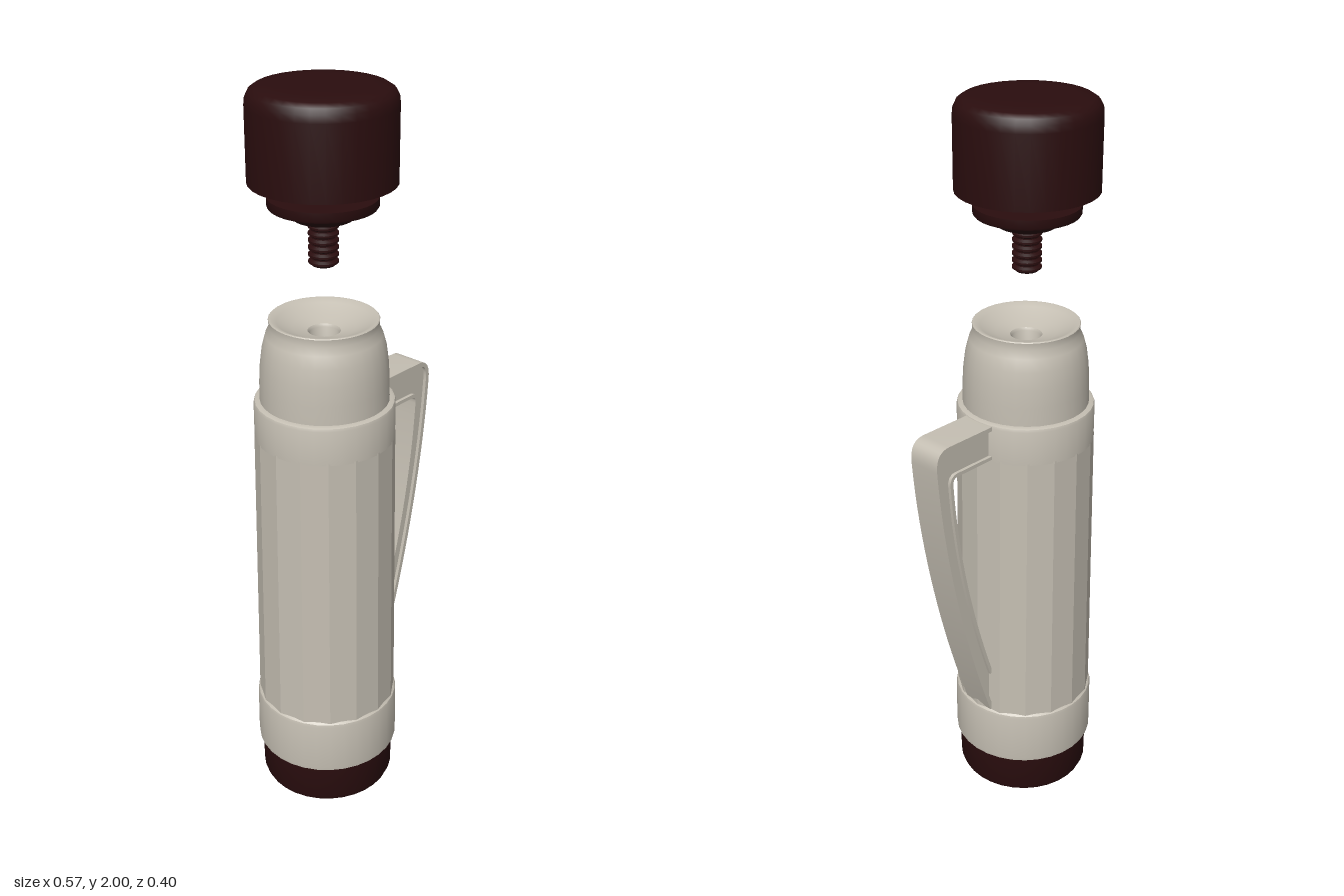
import * as THREE from 'three';
import { toCreasedNormals } from 'three/addons/utils/BufferGeometryUtils.js';

const AXIS_X = -0.087; // centre line of the flask

export function createModel() {
  const cream = new THREE.MeshStandardMaterial({ color: 0xc4beb2 });
  cream.name = 'cream plastic';
  const brown = new THREE.MeshStandardMaterial({ color: 0x2a0d0e });
  brown.name = 'dark brown plastic';
  const group = new THREE.Group();
  group.name = 'vacuumFlask';

  const add = (name, geometry, material) => {
    const mesh = new THREE.Mesh(geometry, material);
    mesh.name = name;
    group.add(mesh);
    return mesh;
  };

  // Crease at a larger scale so that small details are not merged
  const crease = (geometry, angle) =>
    toCreasedNormals(geometry.scale(100, 100, 100), angle).scale(0.01, 0.01, 0.01);

  // Turned part from [radius, y] pairs, listed up the outside
  const turn = (name, profile, material, sides = 32, angle = 0.6) => {
    const points = profile.map(([r, y]) => new THREE.Vector2(r, y));
    const mesh = add(name, crease(new THREE.LatheGeometry(points, sides), angle), material);
    mesh.position.x = AXIS_X;
    return mesh;
  };

  // Base foot, lower band, faceted body and collar
  turn('base', [[0, 0.005], [0.12, 0.005], [0.15, 0], [0.168, 0.002], [0.18, 0.008],
    [0.186, 0.022], [0.187, 0.14], [0, 0.14]], brown);
  turn('lowerBand', [[0.18, 0.128], [0.197, 0.128], [0.198, 0.138], [0.197, 0.277],
    [0.195, 0.285], [0.189, 0.29], [0.17, 0.29]], cream);
  turn('body', [[0.192, 0.28], [0.184, 1.1]], cream, 16, 0.1);
  turn('collar', [[0.17, 1.095], [0.1835, 1.095], [0.1835, 1.19], [0.181, 1.197],
    [0.175, 1.2], [0.16, 1.2]], cream);

  // Neck with a shallow pouring funnel and a well for the stopper
  turn('neck', [[0.168, 1.19], [0.167, 1.25], [0.164, 1.3], [0.158, 1.345], [0.149, 1.378],
    [0.139, 1.398], [0.141, 1.418], [0.139, 1.42], [0.134, 1.42], [0.12, 1.412],
    [0.08, 1.395], [0.042, 1.385], [0.038, 1.378], [0.038, 1.25], [0, 1.25]], cream);

  // Stopper: flanged head above a ridged stem
  turn('stopperHead', [[0, 1.675], [0.062, 1.675], [0.075, 1.68], [0.1, 1.697], [0.134, 1.709],
    [0.137, 1.714], [0.137, 1.735], [0, 1.735]], brown);
  const thread = [[0, 1.56], [0.029, 1.56]];
  for (let i = 0; i < 6; i++) {
    const y = 1.562 + i * 0.018;
    thread.push([0.03, y], [0.038, y + 0.005], [0.038, y + 0.01], [0.03, y + 0.015]);
  }
  thread.push([0.03, 1.68]);
  turn('stopperStem', thread, brown, 24);

  // Hollow cup lid
  turn('cup', [[0, 1.975], [0.155, 1.975], [0.168, 1.96], [0.172, 1.77], [0.183, 1.77],
    [0.183, 1.955], [0.181, 1.973], [0.174, 1.987], [0.16, 1.996], [0.12, 2], [0, 2]], brown);

  // Handle: an I-section made of a web and two raised flanges
  const v = (x, y) => new THREE.Vector2(x, y);
  const outer = [
    ...new THREE.CubicBezierCurve(v(0.24, 1.195), v(0.272, 1.195), v(0.287, 1.175), v(0.284, 1.135)).getPoints(8),
    ...new THREE.CubicBezierCurve(v(0.284, 1.135), v(0.265, 0.87), v(0.195, 0.56), v(0.1, 0.292)).getPoints(18).slice(1),
  ];
  outer.unshift(v(0.08, 1.195));
  const inner = [
    v(0.08, 1.1), v(0.205, 1.1),
    ...new THREE.QuadraticBezierCurve(v(0.215, 1.1), v(0.23, 1.1), v(0.229, 1.08)).getPoints(4),
    ...new THREE.CubicBezierCurve(v(0.229, 1.08), v(0.215, 0.86), v(0.165, 0.64), v(0.09, 0.42)).getPoints(16).slice(1),
  ];

  // Shift a path sideways by d, to the right of its direction
  const offset = (path, d) => path.map((p, i) => {
    const a = path[Math.max(i - 1, 0)], b = path[Math.min(i + 1, path.length - 1)];
    const t = b.clone().sub(a).normalize();
    return v(p.x + t.y * d, p.y - t.x * d);
  });
  const slab = (name, side, otherSide, width) => {
    const shape = new THREE.Shape([...side, ...otherSide.slice().reverse()]);
    const geometry = new THREE.ExtrudeGeometry(shape, { depth: width, bevelEnabled: false });
    geometry.translate(0, 0, -width / 2);
    add(name, crease(geometry, 0.6), cream);
  };
  slab('handleWeb', offset(outer, 0.004), offset(inner, -0.004), 0.076);
  slab('handleOuterFlange', outer, offset(outer, 0.012), 0.094);
  slab('handleInnerFlange', offset(inner, -0.01), inner, 0.094);

  return group;
}
